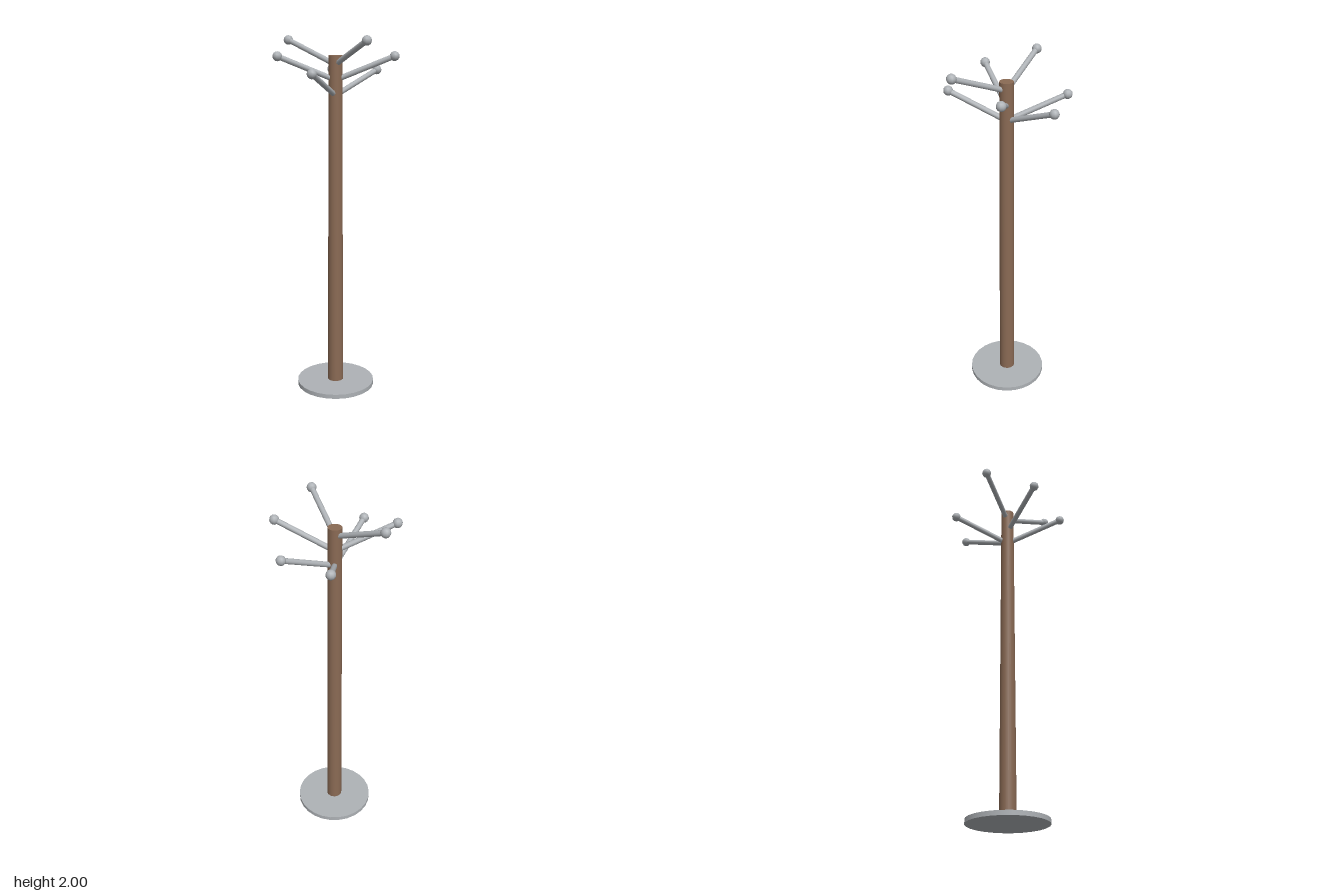
import * as THREE from 'three';

const metal = new THREE.MeshStandardMaterial({ color: 0xaeb2b6 });
metal.name = 'grey metal';
const wood = new THREE.MeshStandardMaterial({ color: 0x8a6a54 });
wood.name = 'brown wood';

const CENTRE_X = -0.017; // pole axis, offset so the uneven ring of arms is centred
const ARMS = 7;
const REACH = 0.318;
const RISE = 0.128;

function addMesh(parent, name, geometry, material, y = 0) {
  const mesh = new THREE.Mesh(geometry, material);
  mesh.name = name;
  mesh.position.y = y;
  parent.add(mesh);
  return mesh;
}

export function createModel() {
  const group = new THREE.Group();
  group.name = 'coatStand';
  const stand = new THREE.Group();
  stand.name = 'stand';
  stand.position.x = CENTRE_X;
  group.add(stand);

  // Round foot plate and tapered pole
  addMesh(stand, 'base', new THREE.CylinderGeometry(0.222, 0.222, 0.025, 26), metal, 0.0125);
  addMesh(stand, 'pole', new THREE.CylinderGeometry(0.037, 0.045, 1.87, 26), wood, 0.96);

  // Sloping arms with ball tips, cycling through three heights
  const length = Math.hypot(REACH, RISE);
  const armGeometry = new THREE.CylinderGeometry(0.0145, 0.0145, length, 12);
  armGeometry.translate(0, length / 2, 0);
  const tipGeometry = new THREE.SphereGeometry(0.026, 10, 8);

  for (let i = 0; i < ARMS; i++) {
    const hook = new THREE.Group();
    hook.name = `hook${i + 1}`;
    hook.position.y = 1.682 + (i % 3) * 0.082;
    hook.rotation.y = -(i / ARMS) * Math.PI * 2;
    addMesh(hook, 'arm', armGeometry, metal).rotation.z = -Math.atan2(REACH, RISE);
    addMesh(hook, 'ballTip', tipGeometry, metal, RISE).position.x = REACH;
    stand.add(hook);
  }
  return group;
}
